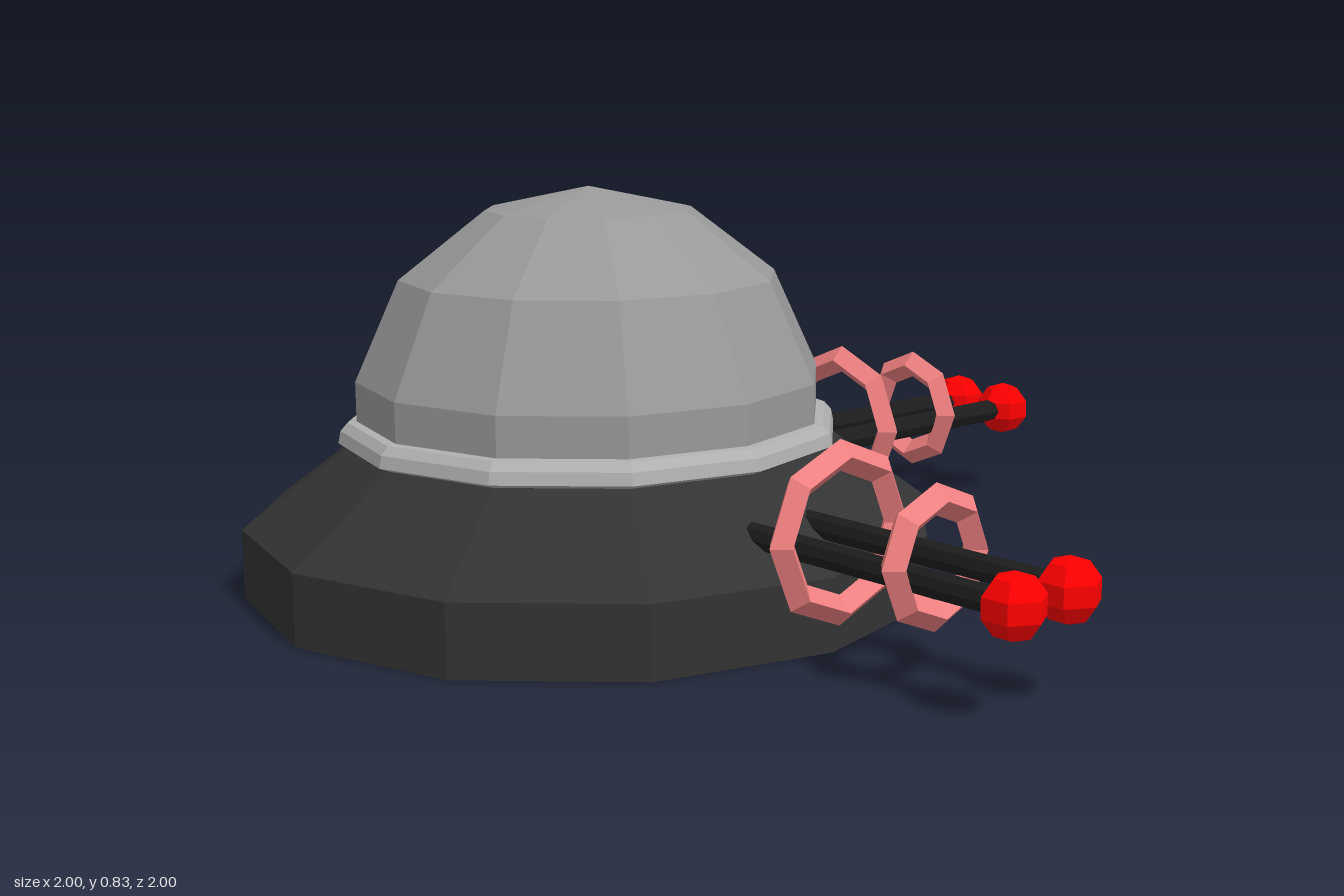
import * as THREE from 'three';

const mat = (color) => new THREE.MeshStandardMaterial({ color, flatShading: true });

function add(parent, name, geometry, material, x = 0, y = 0, z = 0) {
  const mesh = new THREE.Mesh(geometry, material);
  mesh.name = name;
  mesh.position.set(x, y, z);
  parent.add(mesh);
  return mesh;
}

// Twelve-sided turned part from [radius, height] pairs, bottom to top
const turned = (profile) =>
  new THREE.LatheGeometry(profile.map(([r, y]) => new THREE.Vector2(r, y)), 12);

export function createModel() {
  const model = new THREE.Group();
  model.name = 'domeTurret';
  const dark = mat(0x333333);
  const black = mat(0x1c1c1c);
  const domeGrey = mat(0x999999);
  const trimGrey = mat(0xb0b0b0);
  const pink = mat(0xf08080);
  const red = mat(0xff0000);

  const turret = new THREE.Group();
  turret.name = 'turret';
  turret.position.set(-0.28, 0, 0.28);
  model.add(turret);

  // Body: skirted base, trim ring and faceted dome
  add(turret, 'base', turned([[0, 0], [0.718, 0], [0.718, 0.145], [0.5, 0.305], [0, 0.305]]), dark);
  add(turret, 'trimRing', turned([[0.49, 0.303], [0.52, 0.315], [0.515, 0.34], [0.5, 0.357], [0.47, 0.36]]), trimGrey);
  add(turret, 'dome', turned([[0.482, 0.33], [0.482, 0.44], [0.39, 0.645], [0.213, 0.782], [0, 0.828]]), domeGrey);

  // Twin-rod emitters, one to the left and one to the back
  const rodGeo = new THREE.CylinderGeometry(0.026, 0.026, 0.72, 8).rotateZ(Math.PI / 2);
  const tipGeo = new THREE.SphereGeometry(0.062, 6, 5);
  const bands = [[0.735, 0.148], [0.975, 0.107]]; // distance along rods, ring radius
  for (const [name, turn] of [['leftEmitter', 0], ['backEmitter', Math.PI / 2]]) {
    const emitter = new THREE.Group();
    emitter.name = name;
    emitter.rotation.y = turn;
    turret.add(emitter);
    for (const z of [-0.072, 0.072]) {
      add(emitter, 'rod', rodGeo, black, 0.86, 0.212, z);
      add(emitter, 'rodTip', tipGeo, red, 1.22, 0.212, z);
    }
    for (const [x, radius] of bands) {
      const geo = new THREE.TorusGeometry(radius, 0.03, 4, 8).rotateY(Math.PI / 2);
      add(emitter, 'bandRing', geo, pink, x, 0.234, 0);
    }
  }
  return model;
}
